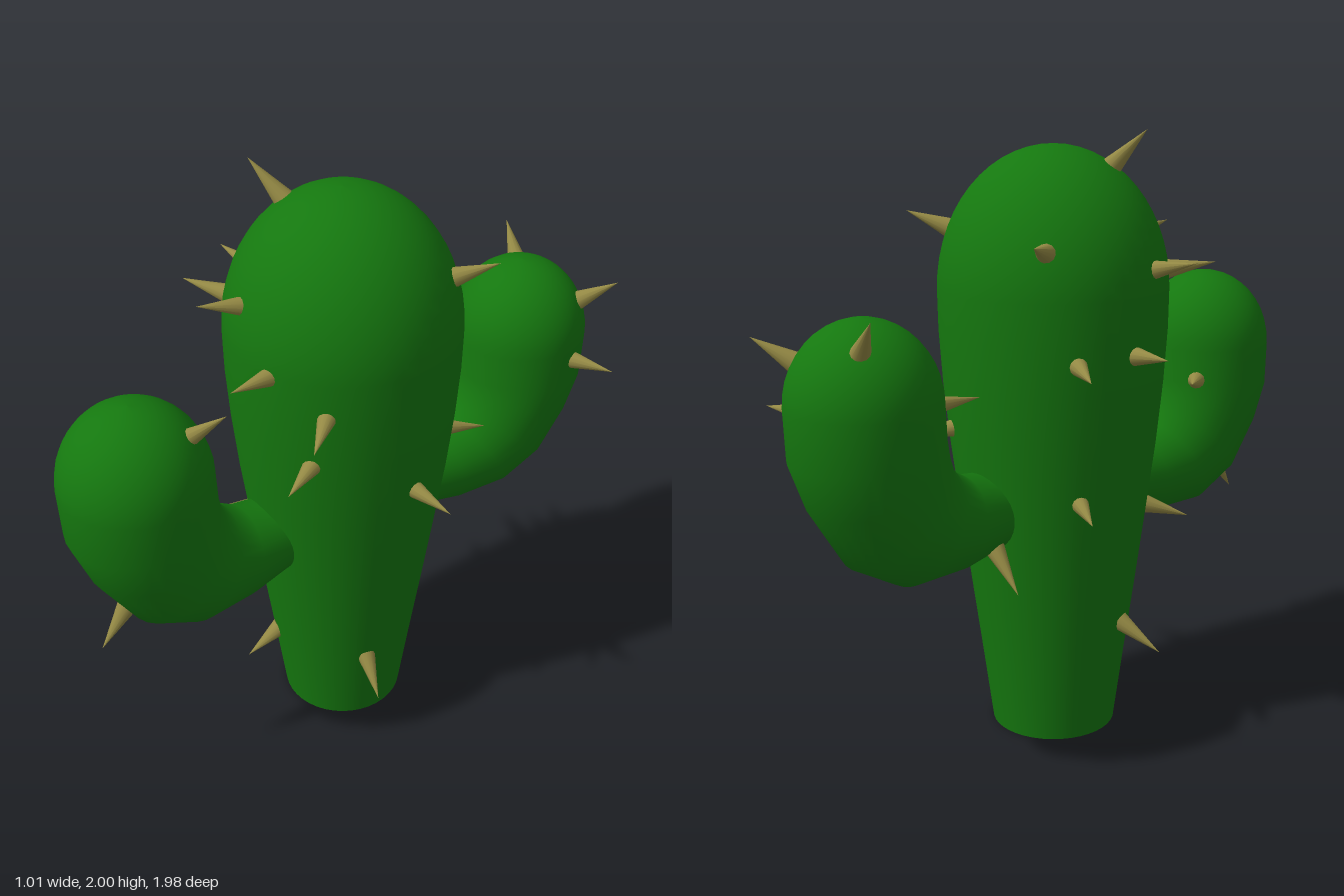
import * as THREE from 'three';

const green = new THREE.MeshStandardMaterial({ color: 0x15780f, roughness: 0.9 });
const tan = new THREE.MeshStandardMaterial({ color: 0x958a45, roughness: 0.9 });
const CX = 0.01; // plant axis

// Trunk: tapered column with an elliptical dome, closed at the foot
function trunkGeometry() {
  const points = [[0.21, 0], [0.243, 0.25], [0.277, 0.5], [0.31, 0.75], [0.342, 1], [0.362, 1.2], [0.373, 1.37]]
    .map(([r, y]) => new THREE.Vector2(r, y));
  for (let i = 0; i <= 14; i++) {
    const a = (i / 14) * Math.PI / 2;
    points.push(new THREE.Vector2(i === 14 ? 0 : 0.375 * Math.cos(a), 1.5 + 0.455 * Math.sin(a)));
  }
  return new THREE.LatheGeometry(points, 40);
}

// Arm: elliptical rings between an outer and an inner outline, ending in a dome
function armGeometry() {
  // [outer z, outer y, inner z, inner y, half width]
  const rings = [
    [0.18, 0.70, 0.18, 0.91, 0.11],
    [0.32, 0.675, 0.29, 0.935, 0.13],
    [0.45, 0.65, 0.39, 0.945, 0.15],
    [0.66, 0.65, 0.45, 0.98, 0.18],
    [0.82, 0.74, 0.485, 1.02, 0.205],
    [0.93, 0.92, 0.505, 1.07, 0.225],
    [0.985, 1.07, 0.515, 1.12, 0.235],
    [0.99, 1.23, 0.52, 1.23, 0.235],
  ];
  for (let i = 1; i <= 10; i++) {
    const a = (i / 10) * Math.PI / 2, r = 0.235 * Math.cos(a), y = 1.23 + 0.26 * Math.sin(a);
    rings.push([0.755 + r, y, 0.755 - r, y, r]);
  }
  const N = 32, pos = [], index = [];
  for (const [oz, oy, iz, iy, w] of rings) {
    for (let j = 0; j < N; j++) {
      const a = (j / N) * Math.PI * 2, c = Math.cos(a) / 2;
      pos.push(w * Math.sin(a), (oy + iy) / 2 + (oy - iy) * c, (oz + iz) / 2 + (oz - iz) * c);
    }
  }
  for (let i = 0; i < rings.length - 1; i++) {
    for (let j = 0; j < N; j++) {
      const k = (j + 1) % N, a = i * N + j, b = i * N + k;
      index.push(a, b, b + N, a, b + N, a + N);
    }
  }
  const geometry = new THREE.BufferGeometry();
  geometry.setAttribute('position', new THREE.Float32BufferAttribute(pos, 3));
  geometry.setIndex(index);
  geometry.computeVertexNormals();
  return geometry;
}

// Spine: cone from a point on the skin to its tip, slightly sunk in
const UP = new THREE.Vector3(0, 1, 0);
function makeSpine([bx, by, bz, tx, ty, tz]) {
  const base = new THREE.Vector3(bx, by, bz), tip = new THREE.Vector3(tx, ty, tz);
  const dir = tip.clone().sub(base).normalize();
  base.addScaledVector(dir, -0.02);
  const length = base.distanceTo(tip);
  const mesh = new THREE.Mesh(new THREE.ConeGeometry(0.033, length, 12), tan);
  mesh.position.copy(base).lerp(tip, 0.5);
  mesh.quaternion.setFromUnitVectors(UP, dir);
  mesh.name = 'spine';
  return mesh;
}

// Each spine: base x, y, z, tip x, y, z
const trunkSpines = [
  [-0.16, 1.9, 0.11, -0.24, 2.0, 0.165],
  [-0.03, 1.655, 0.34, -0.05, 1.69, 0.48],
  [-0.34, 1.58, 0.1, -0.485, 1.61, 0.13],
  [-0.27, 1.565, 0.25, -0.39, 1.59, 0.33],
  [0.27, 1.385, 0.25, 0.38, 1.37, 0.375],
  [0.12, 1.49, 0.35, 0.14, 1.5, 0.495],
  [0.23, 1.2, 0.28, 0.295, 1.185, 0.41],
  [0.26, 1.695, -0.24, 0.345, 1.745, -0.33],
  [-0.23, 1.65, -0.26, -0.31, 1.68, -0.38],
  [-0.36, 1.325, 0, -0.51, 1.335, -0.02],
  [-0.3, 1.31, -0.19, -0.43, 1.29, -0.265],
  [-0.27, 0.86, -0.15, -0.375, 0.825, -0.2],
];
const lowerSpines = [
  [-0.2, 0.76, 0.24, -0.305, 0.725, 0.33],
  [0.35, 1.05, -0.03, 0.5, 1.035, -0.05],
  [-0.06, 0.29, 0.24, -0.09, 0.2, 0.345],
  [-0.25, 0.385, 0.08, -0.375, 0.31, 0.12],
  [0.25, 0.29, 0.07, 0.355, 0.2, 0.1],
  [0.15, 1.06, -0.31, 0.21, 1.045, -0.445],
];
const armSpines = [
  [-0.13, 1.13, 0.56, -0.21, 1.145, 0.445],
  [0.12, 1.39, 0.63, 0.2, 1.475, 0.545],
  [0.005, 0.76, 0.84, 0, 0.64, 0.93],
  [-0.09, 0.7, -0.34, -0.2, 0.59, -0.35],
  [0.17, 1.365, -0.9, 0.245, 1.43, -0.98],
  [0.235, 1.18, -0.815, 0.375, 1.185, -0.86],
  [-0.12, 1.42, -0.85, -0.21, 1.515, -0.88],
  [-0.03, 1.2, -0.53, -0.07, 1.21, -0.385],
];

export function createModel() {
  const group = new THREE.Group();
  group.name = 'cactus';

  const trunk = new THREE.Mesh(trunkGeometry(), green);
  trunk.name = 'trunk';
  trunk.position.x = CX;
  const foot = new THREE.Mesh(new THREE.CircleGeometry(0.21, 40), green);
  foot.name = 'trunkFoot';
  foot.rotation.x = Math.PI / 2;
  foot.position.x = CX;
  group.add(trunk, foot);

  // Two matching arms, front and back
  const armShape = armGeometry();
  ['frontArm', 'backArm'].forEach((name, i) => {
    const arm = new THREE.Mesh(armShape, green);
    arm.name = name;
    arm.position.x = CX;
    arm.rotation.y = i * Math.PI;
    group.add(arm);
  });

  const spines = new THREE.Group();
  spines.name = 'spines';
  for (const s of [...trunkSpines, ...lowerSpines, ...armSpines]) spines.add(makeSpine(s));
  group.add(spines);
  return group;
}
